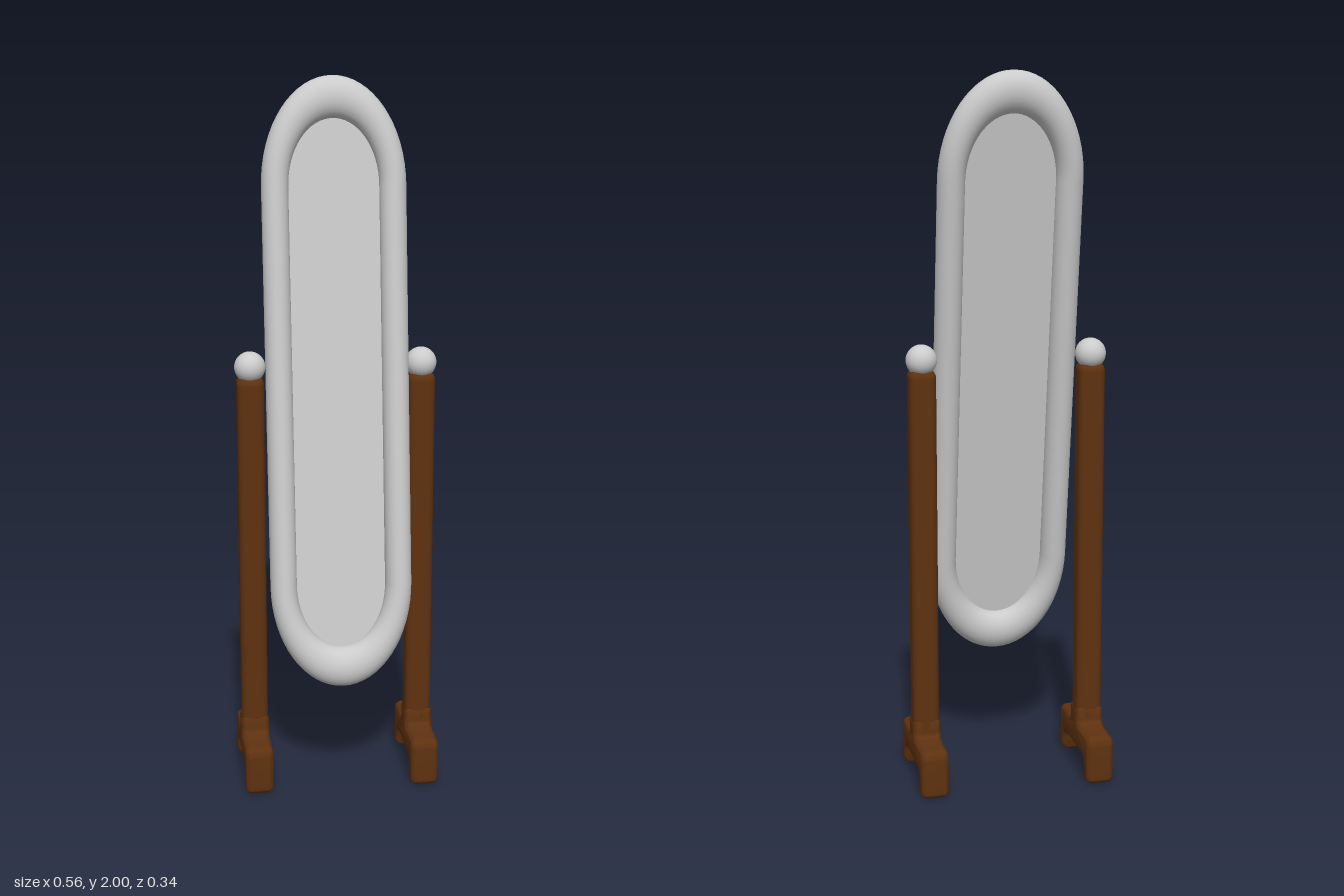
import * as THREE from 'three';
import { toCreasedNormals } from 'three/addons/utils/BufferGeometryUtils.js';
import { RoundedBoxGeometry } from 'three/addons/geometries/RoundedBoxGeometry.js';

const grey = new THREE.MeshStandardMaterial({ color: 0xcccccc });
const glassGrey = new THREE.MeshStandardMaterial({ color: 0xcccccc, side: THREE.DoubleSide });
const wood = new THREE.MeshStandardMaterial({ color: 0x5f3210 });

function part(name, geometry, material, parent) {
  const mesh = new THREE.Mesh(geometry, material);
  mesh.name = name;
  parent.add(mesh);
  return mesh;
}

// Closed shape whose corners [x, y, radius] are rounded off
function roundedShape(corners) {
  const shape = new THREE.Shape();
  const n = corners.length;
  corners.forEach(([x, y, r], i) => {
    const p = new THREE.Vector2(x, y);
    const toward = (c) => new THREE.Vector2(c[0], c[1]).sub(p).setLength(r).add(p);
    const a = toward(corners[(i + n - 1) % n]);
    const b = toward(corners[(i + 1) % n]);
    if (i === 0) shape.moveTo(a.x, a.y);
    else shape.lineTo(a.x, a.y);
    shape.quadraticCurveTo(x, y, b.x, b.y);
  });
  shape.closePath();
  return shape;
}

// Oval outline: two half ellipses joined by straight sides
const HALF_STRAIGHT = 0.55;
const STEPS = 32;
function ovalPoint(i, a, b) {
  const top = i <= STEPS;
  const t = Math.PI * (top ? i / STEPS : (i - 1) / STEPS);
  return [a * Math.cos(t), (top ? 1 : -1) * HALF_STRAIGHT + b * Math.sin(t)];
}

// Frame tube, thicker at the top and bottom than along the sides
function frameGeometry() {
  const rings = 2 * STEPS + 2, sides = 24;
  const positions = [], index = [];
  for (let i = 0; i < rings; i++) {
    for (let j = 0; j < sides; j++) {
      const phi = (j / sides) * Math.PI * 2;
      const c = Math.cos(phi);
      const [x, y] = ovalPoint(i, 0.161 + 0.037 * c, 0.237 + 0.057 * c);
      positions.push(x, y, 0.043 * Math.sin(phi));
      const i2 = (i + 1) % rings, j2 = (j + 1) % sides;
      const p = i * sides + j, q = i2 * sides + j, r = i2 * sides + j2, s = i * sides + j2;
      index.push(p, q, r, p, r, s);
    }
  }
  const g = new THREE.BufferGeometry();
  g.setAttribute('position', new THREE.Float32BufferAttribute(positions, 3));
  g.setIndex(index);
  g.computeVertexNormals();
  return g;
}

// Footed base: side profile in (z, y), extruded across x with rounded edges
function footGeometry() {
  const half = [
    [0.098, 0.065, 0.02], [0.108, 0.005, 0.015], [0.15, 0, 0.02],
    [0.15, 0.14, 0.025], [0.037, 0.14, 0.02], [0.037, 0.19, 0.005],
  ];
  const mirrored = half.map(([z, y, r]) => [-z, y, r]).reverse();
  const bevel = 0.018, width = 0.08;
  const g = new THREE.ExtrudeGeometry(roundedShape([...half, ...mirrored]), {
    depth: width - 2 * bevel, bevelEnabled: true, bevelThickness: bevel,
    bevelSize: bevel, bevelOffset: -bevel, bevelSegments: 5, curveSegments: 6,
  });
  g.translate(0, 0, bevel - width / 2);
  g.rotateY(-Math.PI / 2);
  return toCreasedNormals(g, 0.7);
}

export function createModel() {
  const model = new THREE.Group();
  model.name = 'standingMirror';

  // Tilted mirror: frame and thin glass panel
  const mirror = new THREE.Group();
  mirror.name = 'mirror';
  mirror.position.set(0, 1.165, 0.008);
  mirror.rotation.x = -0.151;
  model.add(mirror);
  part('frame', frameGeometry(), grey, mirror);
  const outline = [];
  for (let i = 0; i < 2 * STEPS + 2; i++) {
    outline.push(new THREE.Vector2(...ovalPoint(i, 0.14, 0.2)));
  }
  part('glass', new THREE.ShapeGeometry(new THREE.Shape(outline)), glassGrey, mirror);

  // Two stands: footed base, post and ball finial
  const foot = footGeometry();
  const post = new RoundedBoxGeometry(0.075, 1.1, 0.074, 5, 0.024);
  const ball = new THREE.SphereGeometry(0.043, 32, 20);
  for (const [side, x] of [['left', 0.236], ['right', -0.239]]) {
    const stand = new THREE.Group();
    stand.name = side + 'Stand';
    stand.position.set(x, 0, -0.02);
    stand.rotation.y = 0.02;
    model.add(stand);
    part(side + 'Foot', foot, wood, stand);
    part(side + 'Post', post, wood, stand).position.y = 0.65;
    part(side + 'Finial', ball, grey, stand).position.y = 1.223;
  }
  return model;
}
